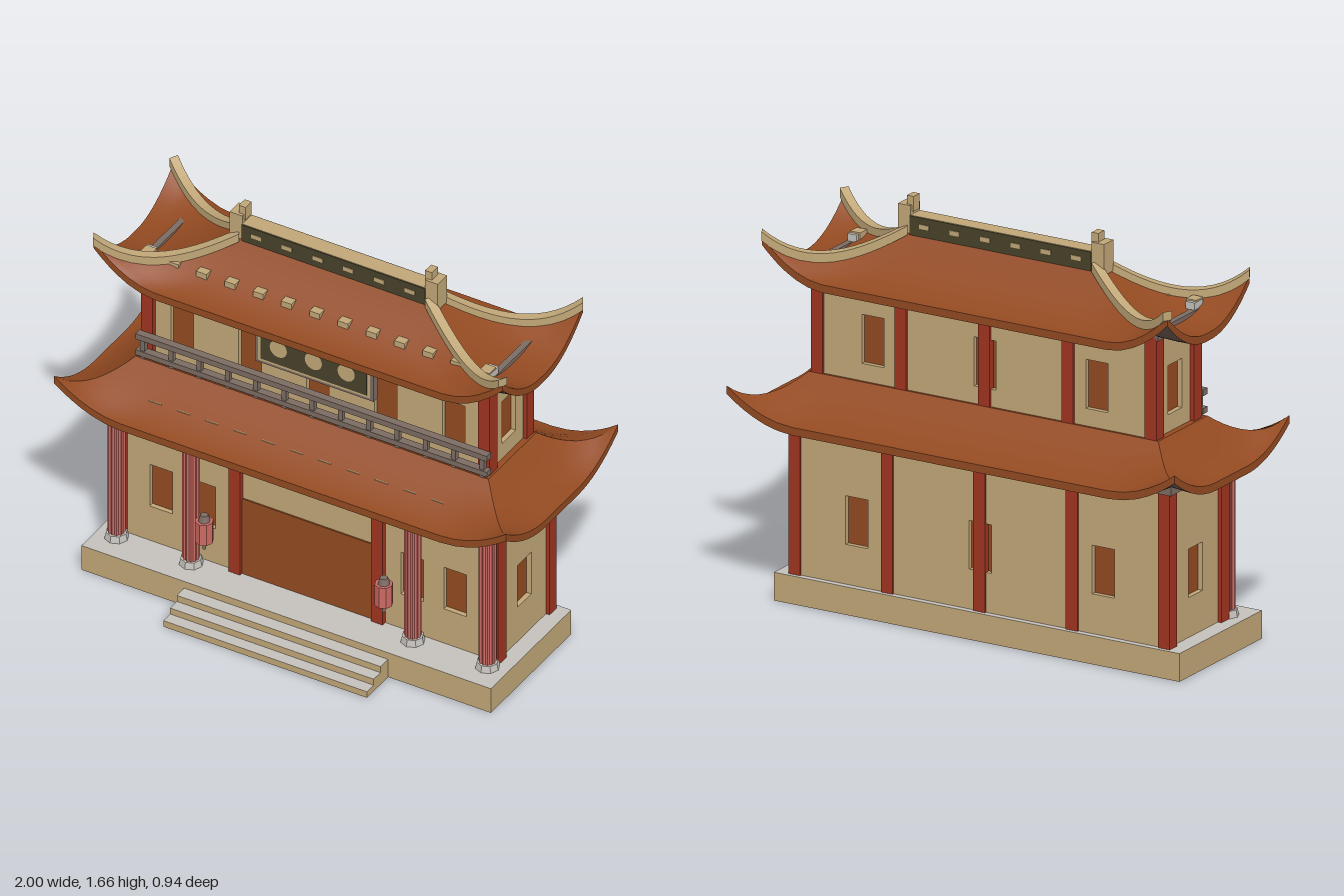
import * as THREE from 'three';

const mat = (name, color, opts = {}) => {
  const m = new THREE.MeshStandardMaterial({ color, ...opts });
  m.name = name;
  return m;
};

export function createModel() {
  const M = {
    tan: mat('sandstone', 0xc1a778, { side: THREE.DoubleSide }),
    rust: mat('rust tile and wood', 0x934a21),
    red: mat('red lacquer', 0xa03421),
    pink: mat('faded red', 0xcb6a62, { flatShading: true }),
    stone: mat('grey stone', 0xc4c1bc, { flatShading: true }),
    timber: mat('grey timber', 0x7c6c63),
    olive: mat('dark olive', 0x48422a),
    under: mat('dark soffit', 0x6a574c),
  };
  const model = new THREE.Group();
  model.name = 'pavilion';

  const add = (name, geo, material, x = 0, y = 0, z = 0) => {
    const m = new THREE.Mesh(geo, material);
    m.name = name;
    m.position.set(x, y, z);
    model.add(m);
    return m;
  };
  // Box given by its extents
  const box = (name, material, x0, x1, y0, y1, z0, z1) =>
    add(name, new THREE.BoxGeometry(x1 - x0, y1 - y0, z1 - z0), material,
      (x0 + x1) / 2, (y0 + y1) / 2, (z0 + z1) / 2);

  // Surface from a rule: fn(u, v) gives a point
  const grid = (nu, nv, fn, flat = false) => {
    const pos = [], idx = [];
    for (let j = 0; j <= nv; j++)
      for (let i = 0; i <= nu; i++) pos.push(...fn(i / nu, j / nv));
    for (let j = 0; j < nv; j++)
      for (let i = 0; i < nu; i++) {
        const a = j * (nu + 1) + i, d = a + nu + 1;
        idx.push(a, a + 1, d + 1, a, d + 1, d);
      }
    let g = new THREE.BufferGeometry();
    g.setAttribute('position', new THREE.Float32BufferAttribute(pos, 3));
    g.setIndex(idx);
    if (flat) g = g.toNonIndexed();
    g.computeVertexNormals();
    return g;
  };

  // Platform and steps, with stone tops
  const topped = [M.tan, M.tan, M.stone, M.tan, M.tan, M.tan];
  box('platform', topped, -0.905, 0.905, 0.002, 0.115, -0.28, 0.315);
  box('platformUnderside', M.stone, -0.85, 0.85, 0, 0.002, -0.225, 0.26);
  for (let i = 0; i < 3; i++)
    box('step', topped, -0.45, 0.45, 0, 0.028 * (i + 1), 0.31, 0.47 - 0.05 * i);

  // Walls: dark wood core seen through window openings in four panels
  const panel = (w, y0, y1, wins, wy0, wy1) => {
    const s = new THREE.Shape();
    s.moveTo(-w, y0).lineTo(w, y0).lineTo(w, y1).lineTo(-w, y1).closePath();
    for (const x of wins) {
      const h = new THREE.Path();
      h.moveTo(x - 0.05, wy0).lineTo(x - 0.05, wy1).lineTo(x + 0.05, wy1).lineTo(x + 0.05, wy0).closePath();
      s.holes.push(h);
    }
    return new THREE.ExtrudeGeometry(s, { depth: 0.02, bevelEnabled: false });
  };
  const walls = (name, hx, y0, y1, zb, zf, wy0, wy1, front, back) => {
    const d = 0.02, zc = (zb + zf) / 2, hz = (zf - zb) / 2;
    box(name + 'Core', M.rust, -hx + d, hx - d, y0, y1, zb + d, zf - d);
    add(name + 'Front', panel(hx, y0, y1, front, wy0, wy1), M.tan, 0, 0, zf - d);
    add(name + 'Back', panel(hx, y0, y1, back, wy0, wy1), M.tan, 0, 0, zb + d).rotation.y = Math.PI;
    for (const s of [-1, 1])
      add(name + 'Side', panel(hz, y0, y1, [0], wy0, wy1), M.tan, s * (hx - d), 0, zc).rotation.y = s * Math.PI / 2;
  };
  walls('lowerWall', 0.835, 0.115, 0.85, -0.255, 0.152, 0.275, 0.47, [-0.65, -0.46, 0.46, 0.65], [-0.55, 0, 0.55]);
  walls('upperWall', 0.755, 0.9, 1.36, -0.22, 0.08, 1.0, 1.197, [-0.6, -0.3, 0, 0.3, 0.6], [-0.5, 0, 0.5]);

  // Square red posts
  const post = (x, y0, y1, z0, z1) => box('wallPost', M.red, x - 0.026, x + 0.026, y0, y1, z0, z1);
  for (const s of [-1, 1]) {
    post(s * 0.825, 0.115, 0.8, 0.11, 0.172);
    post(s * 0.315, 0.115, 0.8, 0.13, 0.172);
    post(s * 0.745, 0.9, 1.34, 0.04, 0.1);
    box('postCap', M.stone, s * 0.755 - 0.02, s * 0.755 + 0.02, 1.34, 1.405, 0.04, 0.098);
  }
  for (let k = -2; k <= 2; k++) {
    post(k * 0.4125, 0.115, 0.8, -0.263, -0.21);
    post(k * 0.3725, 0.9, 1.34, -0.23, -0.176);
  }

  // Door, painted frieze and beams
  box('door', M.rust, -0.29, 0.29, 0.115, 0.465, 0.151, 0.158);
  box('frieze', M.tan, -0.86, 0.86, 0.722, 0.78, 0.17, 0.23);
  for (let k = -7; k <= 7; k++) {
    const x = k * 0.115, w = k % 2 ? 0.04 : 0.028;
    box('friezePaint', k % 3 ? M.olive : M.rust, x - w, x + w, k % 2 ? 0.74 : 0.73, 0.777, 0.23, 0.234);
  }
  box('backBeam', M.timber, -0.86, 0.86, 0.735, 0.775, -0.27, -0.24);
  for (const s of [-1, 1]) {
    box('sideBeam', M.timber, s * 0.845 - 0.015, s * 0.845 + 0.015, 0.735, 0.775, -0.27, 0.18);
    box('upperSideBeam', M.timber, s * 0.765 - 0.013, s * 0.765 + 0.013, 1.33, 1.376, -0.23, 0.08);
  }

  // Fluted porch columns
  const fluted = new THREE.CylinderGeometry(0.034, 0.034, 0.62, 24, 1, true);
  const fp = fluted.attributes.position;
  for (let i = 0; i < fp.count; i++)
    if ((i % 25) % 2) fp.setXYZ(i, fp.getX(i) * 0.86, fp.getY(i), fp.getZ(i) * 0.86);
  for (const x of [-0.82, -0.49, 0.49, 0.82]) {
    add('column', fluted, M.pink, x, 0.44, 0.198);
    add('columnBase', new THREE.CylinderGeometry(0.042, 0.048, 0.028, 8), M.stone, x, 0.129, 0.198);
  }

  // Lanterns
  for (const x of [-0.397, 0.397]) {
    add('lantern', new THREE.CylinderGeometry(0.036, 0.036, 0.095, 8), M.pink, x, 0.337, 0.257);
    add('lanternCap', new THREE.CylinderGeometry(0.016, 0.024, 0.028, 8), M.timber, x, 0.398, 0.257);
    add('lanternFoot', new THREE.CylinderGeometry(0.02, 0.016, 0.012, 8), M.timber, x, 0.284, 0.257);
    add('lanternTassel', new THREE.CylinderGeometry(0.007, 0.007, 0.03, 6), M.timber, x, 0.268, 0.257);
  }

  // Sweeping hipped roof: concave slopes, eaves lifted towards the corners
  const roof = (name, r) => {
    const corners = [[-1, 1], [1, 1], [1, -1], [-1, -1]];
    const point = (side, u, t, dy = 0) => {
      const [ax, az] = corners[side], [bx, bz] = corners[(side + 1) % 4];
      const s = (1 - Math.cos(Math.PI * u)) / 2;
      const cx = ax + (bx - ax) * s, cz = az + (bz - az) * s;
      const len = 2 * (side % 2 ? r.ez : r.ex);
      const c = Math.max(0, 1 - Math.min(s, 1 - s) * len / r.reach);
      const y = r.y0 + (r.y1 - r.y0) * t ** r.sag + r.lift * c * c * (1 - t) ** r.fall;
      return [cx * (r.ex + (r.tx - r.ex) * t), y + dy, r.zc + cz * (r.ez + (r.tz - r.ez) * t)];
    };
    for (let i = 0; i < 4; i++) {
      add(name + 'Slope', grid(32, 10, (u, v) => point(i, u, v)), M.rust);
      add(name + 'Soffit', grid(32, 10, (u, v) => point(i, 1 - u, v, -0.032)), M.under);
      add(name + 'Eave', grid(32, 1, (u, v) => point(i, u, 0, (v - 1) * 0.032)), M.rust);
    }
    return point;
  };
  roof('lowerRoof', { ex: 1, ez: 0.415, tx: 0.78, tz: 0.177, zc: -0.054, y0: 0.787, y1: 0.93, lift: 0.115, reach: 0.3, fall: 2.5, sag: 1.5 });
  const hip = roof('upperRoof', { ex: 0.905, ez: 0.297, tx: 0.42, tz: 0.03, zc: -0.07, y0: 1.342, y1: 1.52, lift: 0.145, reach: 0.28, fall: 3.3, sag: 1.8 });
  box('balconyDeck', M.rust, -0.78, 0.78, 0.86, 0.93, -0.23, 0.122);

  // Hip ribs following the upper roof corners
  const ring = [[-1, -0.01], [1, -0.01], [1, 0.026], [-1, 0.026], [-1, -0.01]];
  for (let i = 0; i < 4; i++) {
    const a = hip(i, 0, 0), b = hip(i, 0, 1);
    const n = new THREE.Vector3(b[2] - a[2], 0, a[0] - b[0]).normalize().multiplyScalar(0.019);
    add('hipRib', grid(4, 18, (u, v) => {
      const k = v === 0 || v === 1 ? 0 : 1;
      const t = Math.min(1, Math.max(0, (v * 18 - 1) / 16));
      const p = hip(i, 0, t), [sx, sy] = ring[Math.round(u * 4)];
      return [p[0] - sx * n.x * k, p[1] + (k ? sy : 0.008), p[2] - sx * n.z * k];
    }, true), M.tan);
  }

  // Main ridge with panels, studs and end finials
  box('ridge', M.tan, -0.42, 0.42, 1.49, 1.588, -0.105, -0.037);
  for (const [z, d] of [[-0.037, 1], [-0.105, -1]]) {
    const plate = (n, m, x0, x1, y0, y1, t) =>
      box(n, m, x0, x1, y0, y1, Math.min(z, z + d * t), Math.max(z, z + d * t));
    plate('ridgePanel', M.olive, -0.405, 0.405, 1.505, 1.586, 0.004);
    for (let k = -2.5; k <= 2.5; k++)
      plate('ridgeStud', M.tan, k * 0.136 - 0.022, k * 0.136 + 0.022, 1.542, 1.56, 0.007);
  }
  for (const s of [-1, 1]) {
    box('ridgeEnd', M.tan, s * 0.432 - 0.028, s * 0.432 + 0.028, 1.5, 1.625, -0.105, -0.037);
    box('ridgeFinial', M.tan, s * 0.412 - 0.015, s * 0.412 + 0.015, 1.6, 1.66, -0.093, -0.049);
  }

  // Rafter ends showing through the front slopes, and balcony railing
  for (let k = -6; k <= 6; k++) {
    const x = k * 0.125;
    box('upperRafterEnd', M.tan, x - 0.023, x + 0.023, 1.37, 1.411, 0.055, 0.105);
    box('lowerRafterEnd', M.tan, x - 0.028, x + 0.028, 0.815, 0.842, 0.233, 0.24);
    box('railPost', M.timber, x - 0.01, x + 0.01, 0.92, 1.02, 0.104, 0.124);
  }
  for (const [y0, y1] of [[1.015, 1.04], [0.942, 0.965]])
    box('rail', M.timber, -0.777, 0.777, y0, y1, 0.098, 0.13);

  // Front plaque with plain oval ornaments
  box('plaqueFrame', M.timber, -0.262, 0.262, 1.09, 1.27, 0.078, 0.106);
  box('plaqueBorder', M.tan, -0.247, 0.247, 1.102, 1.258, 0.104, 0.109);
  box('plaquePanel', M.olive, -0.235, 0.235, 1.113, 1.247, 0.106, 0.112);
  for (const x of [-0.155, 0, 0.145])
    add('plaqueOrnament', new THREE.CircleGeometry(0.038, 20), M.tan, x, 1.187, 0.114);

  return model;
}
